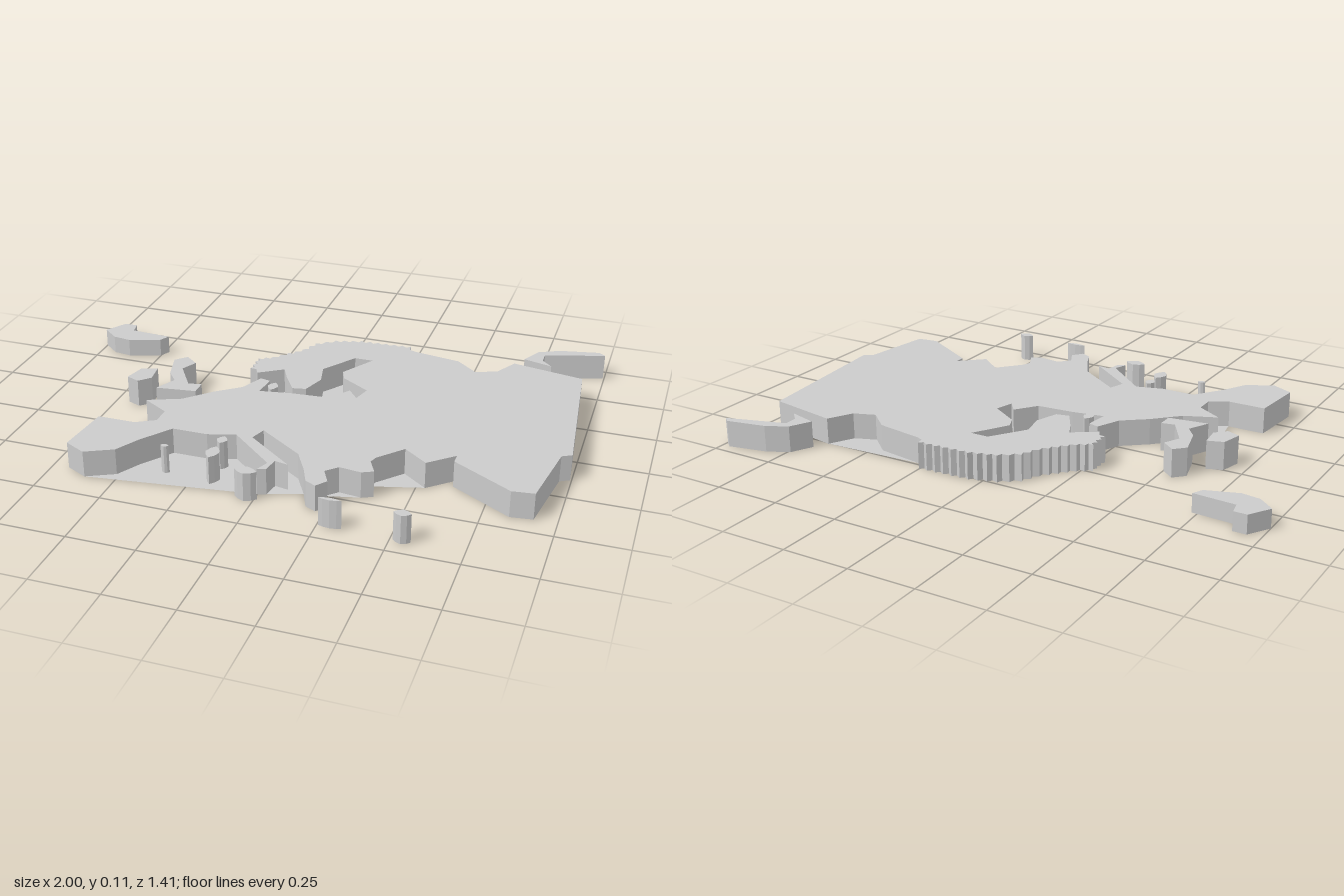
import * as THREE from 'three';

const material = new THREE.MeshStandardMaterial({ color: 0xcccccc, flatShading: true, side: THREE.DoubleSide });

// Outlines are x, z pairs in hundredths of a unit.
function points(...list) {
  const out = [];
  for (let i = 0; i < list.length; i += 2) out.push(new THREE.Vector2(list[i] / 100, -list[i + 1] / 100));
  return out;
}

// Cuts small regular notches along a coast to form fjords.
function notched(pts, spacing, depth) {
  return pts.flatMap((p, i) => {
    const q = pts[i + 1];
    if (!q) return [p];
    const d = q.clone().sub(p);
    const n = Math.max(1, Math.round(d.length() / spacing));
    const inward = new THREE.Vector2(d.y, -d.x).normalize().multiplyScalar(depth);
    return Array.from({ length: n }, (_, k) => [
      p.clone().addScaledVector(d, k / n),
      p.clone().addScaledVector(d, (k + 0.55) / n).add(inward),
    ]).flat();
  });
}

// Small rough-edged oval island.
function oval(x, z, rx, rz) {
  return Array.from({ length: 8 }, (_, i) => {
    const a = (i * Math.PI) / 4;
    const r = i % 2 ? 0.85 : 1;
    return points(x + rx * r * Math.cos(a), z + rz * r * Math.sin(a))[0];
  }).reverse();
}

function addMesh(group, name, geometry) {
  const mesh = new THREE.Mesh(geometry.rotateX(-Math.PI / 2), material);
  mesh.name = name;
  group.add(mesh);
  return mesh;
}

function addLand(group, name, pts, height) {
  addMesh(group, name, new THREE.ExtrudeGeometry(new THREE.Shape(pts), { depth: height, bevelEnabled: false }));
}

// Mainland coast in order; the base sheet spans the bays with straight edges.
const shore = (pts) => ({ pts, bay: false });
const bay = (...list) => ({ pts: points(...list), bay: true });
const coast = [
  shore(points(-61, 64, -69, 60, -67, 39, -53, 39)),
  bay(-46, 35, -46, 28),
  shore(points(-56, 22, -44, 17, -35, 8, -26, 1, -22, -8, -18, -7, -19, 2, -7, 0, 7, -1, 13, -9, 17, -4, 19, -11)),
  bay(8, -18, 6, -23, 14, -36, 7, -36, -2, -23),
  shore(points(0, -14, -3, -5, -8, -4, -13, -12)),
  bay(-16, -18),
  shore(notched(points(-25, -12, -29, -15, -29, -24, -24, -27, -15, -37, -12, -44, -5, -49, 5, -52, 25, -53, 28, -49), 0.035, 0.014)),
  bay(46, -46, 54, -39, 62, -42),
  shore(points(67, -51, 94, -46, 99.5, 13, 96, 15, 92, 42, 84, 43, 62, 30, 62, 26, 53, 34)),
  bay(44, 27, 36, 36),
  shore(points(35, 39, 38, 45, 34, 47)),
  bay(26, 46),
  shore(points(22, 50, 25, 56, 22, 60, 18, 58, 15, 51)),
  bay(10, 42, -7, 30, -9, 36, 9, 50, 4, 49),
  shore(points(3, 55, 0, 56)),
  bay(2, 51, -15, 36, -25, 39, -38, 39, -46, 50, -51, 59),
];

export function createModel() {
  const model = new THREE.Group();
  model.name = 'reliefMap';

  // Raised mainland
  addLand(model, 'mainland', coast.flatMap((c) => c.pts), 0.1);

  // Thin sheet closing the bays at the bottom
  const outer = coast.filter((c) => !c.bay).flatMap((c) => c.pts);
  addMesh(model, 'baseSheet', new THREE.ShapeGeometry(new THREE.Shape(outer))).position.y = 0.001;

  // Large islands
  addLand(model, 'northwestIsland', points(-100, -35, -95, -43, -90, -43, -89, -38, -73, -37, -75, -33, -87, -29, -94, -30), 0.07);
  addLand(model, 'westernIsland', points(-59, -11, -55, -15, -50, -11, -53, -5, -46, 6, -41, 5, -41, 11, -56, 13, -52, 5, -56, 0), 0.107);
  addLand(model, 'outerWesternIsland', points(-70, 8, -68, 0, -62, -2, -61, 6, -65, 10), 0.107);
  addLand(model, 'arcticIsland', points(70, -56, 74, -64, 82, -68, 97, -71, 99.5, -69, 77, -62, 77, -57, 81, -53), 0.1);

  // Small islands
  addLand(model, 'straitIsland', oval(-15, -2, 2, 3), 0.107);
  addLand(model, 'toeIsland', oval(-3, 59, 4, 2.5), 0.107);
  addLand(model, 'innerNorthIsland', oval(-18, 42, 2, 2.5), 0.107);
  addLand(model, 'innerSouthIsland', oval(-18, 51, 2.5, 4), 0.107);
  addLand(model, 'westernIslet', oval(-35.5, 52, 1.5, 1), 0.107);
  addLand(model, 'southernIsland', oval(29.5, 67.5, 4, 0.8), 0.107);
  addLand(model, 'southeastIsland', oval(54, 68, 3, 2), 0.107);
  return model;
}
